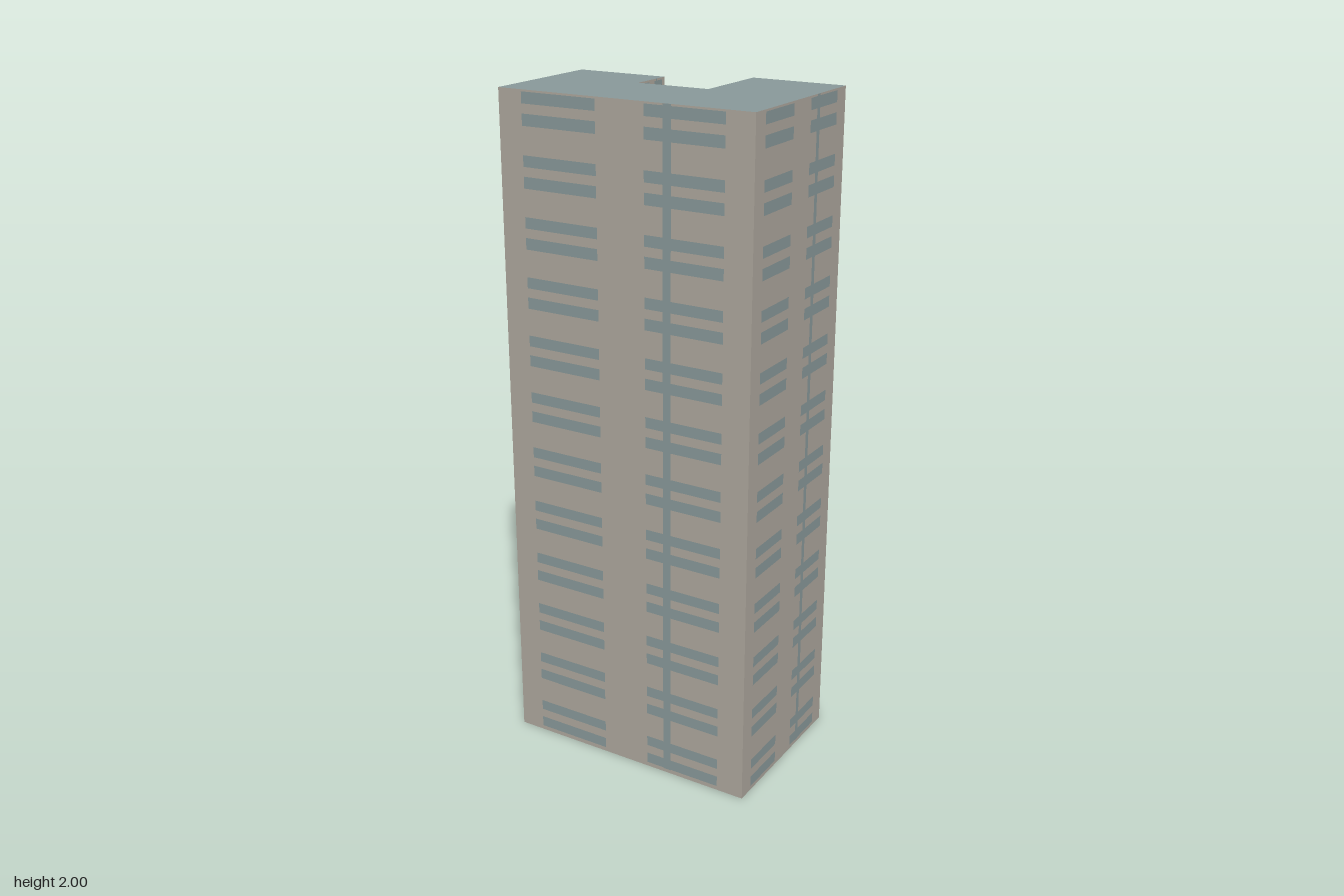
import * as THREE from 'three';
import { mergeGeometries } from 'three/addons/utils/BufferGeometryUtils.js';

const HEIGHT = 2;

// Footprint corners [x, z], each edge running left to right as seen from outside
const FOOTPRINT = [
  [-0.417, 0.201], [0.373, 0.268], [0.416, -0.246], [0.13, -0.271],
  [0.108, -0.02], [-0.113, -0.039], [-0.102, -0.174], [-0.384, -0.198],
];

// Window columns and vertical strip, as fractions of the wall width
const COLUMNS = [[0.097, 0.398], [0.588, 0.894]];
const STRIP = [0.66, 0.692];

// Paired window bands on every floor
const FLOORS = 12;
const FLOOR_STEP = 0.1717;
const BANDS = [[0.014, 0.047], [0.074, 0.106]];

// Upright rectangle in a wall's own plane
function rect(x0, x1, y0, y1, z = 0) {
  return new THREE.PlaneGeometry(x1 - x0, y1 - y0).translate((x0 + x1) / 2, (y0 + y1) / 2, z);
}

function windowGeometry(width) {
  const lift = 0.0015;
  const parts = [rect(STRIP[0] * width, STRIP[1] * width, 0.012, HEIGHT, lift)];
  for (let floor = 0; floor < FLOORS; floor++) {
    for (const [y0, y1] of BANDS) {
      for (const [u0, u1] of COLUMNS) {
        const y = floor * FLOOR_STEP;
        parts.push(rect(u0 * width, u1 * width, y + y0, y + y1, lift));
      }
    }
  }
  return mergeGeometries(parts);
}

export function createModel() {
  const wallMaterial = new THREE.MeshStandardMaterial({ color: 0xb0a99f, side: THREE.DoubleSide });
  wallMaterial.name = 'warm grey wall';
  const glassMaterial = new THREE.MeshStandardMaterial({ color: 0x8a9a9b });
  glassMaterial.name = 'blue grey';

  const tower = new THREE.Group();
  tower.name = 'tower';

  const add = (parent, name, geometry, material) => {
    const mesh = new THREE.Mesh(geometry, material);
    mesh.name = name;
    parent.add(mesh);
  };

  // One facade per footprint edge: open shell wall plus painted windows outside
  FOOTPRINT.forEach(([x, z], i) => {
    const [nx, nz] = FOOTPRINT[(i + 1) % FOOTPRINT.length];
    const width = Math.hypot(nx - x, nz - z);
    const facade = new THREE.Group();
    facade.name = `facade${i + 1}`;
    facade.position.set(x, 0, z);
    facade.rotation.y = Math.atan2(z - nz, nx - x);
    add(facade, 'wall', rect(0, width, 0, HEIGHT), wallMaterial);
    add(facade, 'windows', windowGeometry(width), glassMaterial);
    tower.add(facade);
  });

  // Flat roof; the underside stays open
  const outline = new THREE.Shape(FOOTPRINT.map(([x, z]) => new THREE.Vector2(x, -z)));
  const roof = new THREE.ShapeGeometry(outline).rotateX(-Math.PI / 2).translate(0, HEIGHT, 0);
  add(tower, 'roof', roof, glassMaterial);

  return tower;
}
